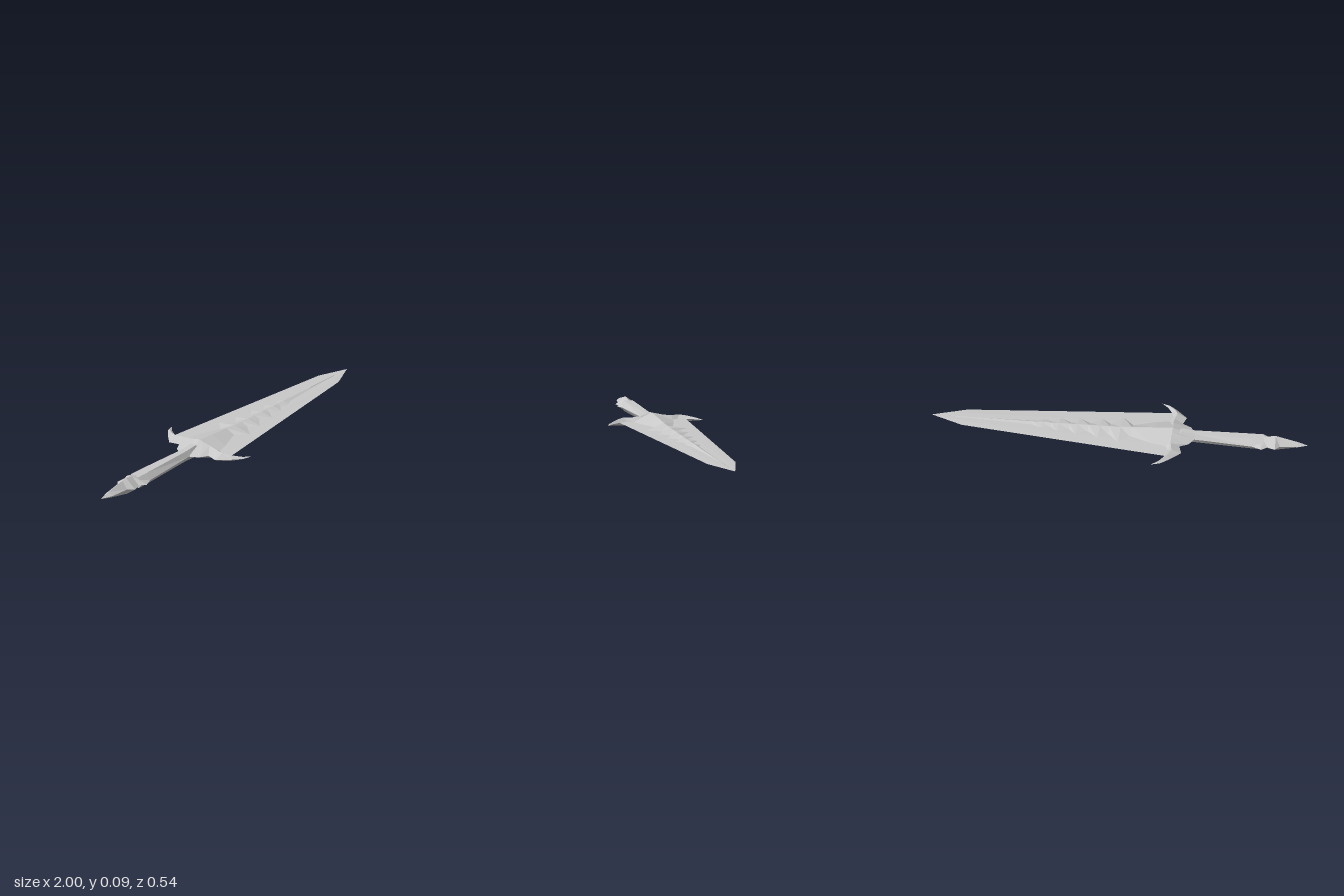
import * as THREE from 'three';

const CENTRE_Y = 0.043;

// Joins a list of closed rings of points into a flat-shaded skin
function loft(rings) {
  const pos = [];
  const n = rings[0].length;
  for (let i = 0; i < rings.length - 1; i++) {
    for (let j = 0; j < n; j++) {
      const k = (j + 1) % n;
      const a = rings[i][j], b = rings[i][k], c = rings[i + 1][k], d = rings[i + 1][j];
      pos.push(...a, ...b, ...c, ...a, ...c, ...d);
    }
  }
  const g = new THREE.BufferGeometry();
  g.setAttribute('position', new THREE.Float32BufferAttribute(pos, 3));
  g.computeVertexNormals();
  return g;
}

// Station [x, half width, half height]; flat is the share of the width with a level top
const section = (flat) => ([x, w, h]) => [
  [x, h, -w * flat], [x, h, w * flat], [x, 0, w],
  [x, -h, w * flat], [x, -h, -w * flat], [x, 0, -w],
];

export function createModel() {
  const group = new THREE.Group();
  group.name = 'dagger';
  const steel = new THREE.MeshStandardMaterial({ color: 0xc8c8c8, flatShading: true });
  steel.name = 'steel';

  function add(name, rings) {
    const mesh = new THREE.Mesh(loft(rings), steel);
    mesh.name = name;
    mesh.position.y = CENTRE_Y;
    group.add(mesh);
  }

  // Pointed pommel with two collars
  add('pommel', [
    [-1, 0, 0], [-0.945, 0.022, 0.017], [-0.855, 0.03, 0.038], [-0.83, 0.06, 0.043],
    [-0.79, 0.045, 0.036], [-0.76, 0.07, 0.03], [-0.715, 0.05, 0.029], [-0.7, 0, 0],
  ].map(section(0.05)));

  // Tapered grip
  add('grip', [
    [-0.77, 0, 0], [-0.77, 0.05, 0.03], [-0.715, 0.05, 0.03],
    [-0.41, 0.03, 0.027], [-0.34, 0.03, 0.033], [-0.3, 0, 0],
  ].map(section(0.5)));

  // Cross guard: [back x, back z, ridge x, ridge z, front x, front z, half height]
  const half = [
    [-0.41, 0.03, -0.295, 0.03, -0.27, 0.03, 0.036],
    [-0.385, 0.075, -0.292, 0.065, -0.26, 0.07, 0.028],
    [-0.34, 0.1, -0.295, 0.11, -0.265, 0.11, 0.022],
    [-0.355, 0.155, -0.305, 0.16, -0.285, 0.145, 0.022],
    [-0.3, 0.215, -0.288, 0.2, -0.275, 0.185, 0.016],
    [-0.255, 0.255, -0.25, 0.245, -0.248, 0.232, 0.007],
    [-0.21, 0.27, -0.21, 0.27, -0.21, 0.27, 0],
  ];
  const mirrored = half.map(([bx, bz, rx, rz, fx, fz, h]) => [bx, -bz, rx, -rz, fx, -fz, h]).reverse();
  const guard = [...mirrored, [-0.41, 0, -0.295, 0, -0.27, 0, 0.043], ...half];
  add('guard', guard.map(([bx, bz, rx, rz, fx, fz, h]) =>
    [[fx, 0, fz], [rx, h, rz], [bx, 0, bz], [rx, -h, rz]]));

  // Thin broad blade
  add('blade', [
    [-0.3, 0, 0], [-0.3, 0.192, 0.002], [0.82, 0.07, 0.002], [1, 0, 0],
  ].map(section(0.5)));

  // Raised spine with jagged flanks, fading towards the tip
  add('spine', [
    [-0.31, 0, 0], [-0.295, 0.12, 0.042], [-0.2, 0.1, 0.035], [-0.08, 0.055, 0.025],
    [-0.02, 0.115, 0.021], [0.04, 0.05, 0.019], [0.09, 0.092, 0.018], [0.15, 0.042, 0.017],
    [0.21, 0.08, 0.015], [0.25, 0.034, 0.014], [0.31, 0.066, 0.013], [0.35, 0.026, 0.012],
    [0.4, 0.045, 0.011], [0.45, 0.022, 0.01], [0.92, 0, 0.002], [0.92, 0, 0],
  ].map(section(0.02)));

  return group;
}
